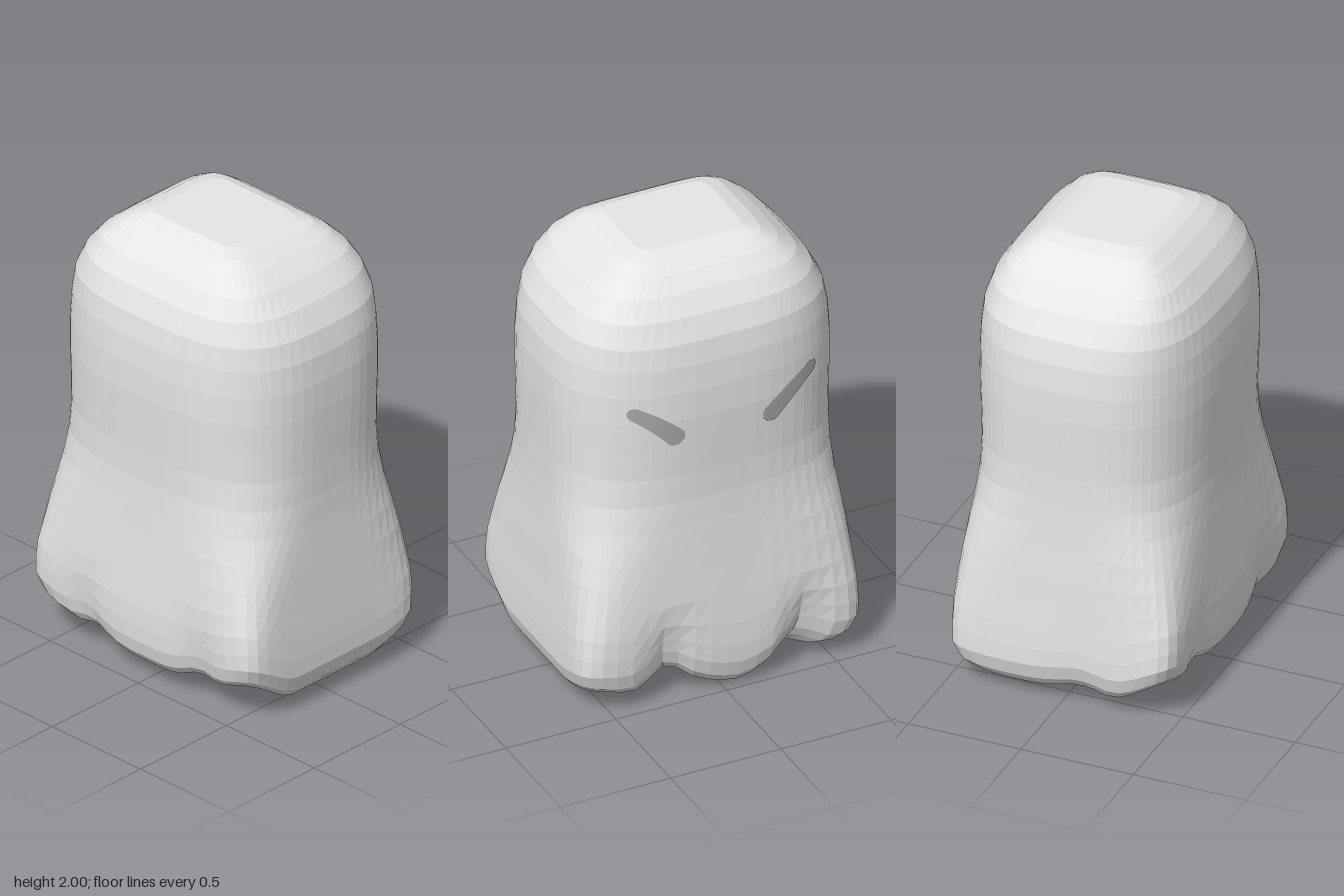
import * as THREE from 'three';

// Cross-sections from under the hem to the crown: y, half width, half depth, squareness
const ROWS = [
  [0.06, 0, 0, 10], [0.055, 0.34, 0.26, 10], [0.045, 0.54, 0.42, 10], [0.06, 0.585, 0.455, 10],
  [0.1, 0.617, 0.487, 11], [0.17, 0.639, 0.506, 12], [0.25, 0.64, 0.511, 11], [0.35, 0.636, 0.511, 10],
  [0.47, 0.629, 0.505, 8], [0.6, 0.623, 0.498, 6.3], [0.72, 0.617, 0.492, 4.9], [0.83, 0.612, 0.487, 3.9],
  [0.95, 0.61, 0.484, 3.3], [1.08, 0.612, 0.488, 3], [1.22, 0.617, 0.496, 2.9], [1.35, 0.621, 0.503, 2.85],
  [1.48, 0.62, 0.503, 2.85], [1.6, 0.61, 0.496, 2.9], [1.7, 0.585, 0.48, 3.1], [1.8, 0.53, 0.44, 3.5],
  [1.88, 0.457, 0.382, 4.3], [1.94, 0.38, 0.318, 5.3], [1.98, 0.31, 0.257, 7], [2, 0.24, 0.2, 8], [2, 0, 0, 8],
];
const SIDE = 18; // segments along each of the four sides
const HEM_X = 0.64, HEM_Z = 0.51;

const { smoothstep } = THREE.MathUtils;
const bump = (x, centre, width) => Math.exp(-(((x - centre) / width) ** 2));

// Folds in the cloth: 0 = none, 1 = deepest notch
function fold(x, z) {
  const back = smoothstep(-z, 0.3, 0.49);
  const front = smoothstep(z, 0.3, 0.49);
  const right = smoothstep(-x, 0.45, 0.62);
  return back * (bump(x, 0.27, 0.11) + bump(x, -0.36, 0.1))
    + front * 0.6 * (bump(x, 0.34, 0.11) + bump(x, -0.32, 0.12))
    + right * 0.4 * bump(z, 0.1, 0.14);
}

// Height change of the hem: raised front and corners, a hanging lobe at the back
function hemLift(x, z) {
  const left = smoothstep(x, 0.35, 0.6), right = smoothstep(-x, 0.35, 0.6);
  const front = smoothstep(z, 0.22, 0.5) * (0.03 + 0.085 * left + 0.075 * right);
  const back = smoothstep(-z, 0.25, 0.5) * (0.045 * left + 0.012 * right - 0.045 * bump(x, -0.07, 0.14));
  return front + back;
}

function ringPoint([y, a, b, n], j) {
  // Walk a square outline, then pull it onto a rounded rectangle
  const t = (j % SIDE) / SIDE * 2 - 1;
  const [u, w] = [[1, -t], [-t, -1], [-1, t], [t, 1]][Math.floor(j / SIDE) % 4];
  const k = (Math.abs(u) ** n + Math.abs(w) ** n) ** (-1 / n);
  const x = u * k * a, z = w * k * b;
  // Folds follow the outer hem line and die out upwards and under the middle
  const hem = [u * k * HEM_X, w * k * HEM_Z], inside = smoothstep(a, 0.15, 0.58);
  const f = fold(...hem) * inside * (1 - smoothstep(y, 0.12, 0.5));
  const lift = 0.085 * f + hemLift(...hem) * inside * (1 - smoothstep(y, 0.15, 0.75));
  return [x * (1 - 0.03 * f), y + lift, z * (1 - 0.075 * f)];
}

function bodyGeometry() {
  const pos = [], count = SIDE * 4, last = ROWS.length - 2;
  for (let i = 0; i <= last; i++) {
    for (let j = 0; j < count; j++) {
      const a = ringPoint(ROWS[i], j), b = ringPoint(ROWS[i], j + 1);
      const c = ringPoint(ROWS[i + 1], j + 1), d = ringPoint(ROWS[i + 1], j);
      if (i > 0) pos.push(...a, ...b, ...c);
      if (i < last) pos.push(...a, ...c, ...d);
    }
  }
  const g = new THREE.BufferGeometry();
  g.setAttribute('position', new THREE.Float32BufferAttribute(pos, 3));
  g.computeVertexNormals();
  return g;
}

// Depth of the unfolded back surface at (x, y)
function backZ(x, y) {
  const i = ROWS.findIndex((r, k) => k > 3 && r[0] >= y);
  const p = ROWS[i - 1], q = ROWS[i], t = (y - p[0]) / (q[0] - p[0]);
  const [a, b, n] = [1, 2, 3].map((k) => p[k] + (q[k] - p[k]) * t);
  return -b * (1 - Math.min(1, Math.abs(x) / a) ** n) ** (1 / n);
}

// Slanted, curved eye stroke laid on the surface: wide inner end, slim outer end
function eyeGeometry(inner, mid, outer) {
  const curve = new THREE.QuadraticBezierCurve(...[inner, mid, outer].map((p) => new THREE.Vector2(...p)));
  const N = 18, M = 4, pos = [], index = [];
  for (let i = 0; i <= N; i++) {
    const t = i / N, p = curve.getPoint(t), d = curve.getTangent(t);
    const blunt = Math.sqrt(Math.min(1, t / 0.1 + 0.15, (1 - t) / 0.08 + 0.15));
    const r = (0.044 - 0.016 * t) * blunt;
    for (let j = 0; j <= M; j++) {
      const s = (j / M * 2 - 1) * r;
      const x = p.x - d.y * s, y = p.y + d.x * s;
      pos.push(x, y, backZ(x, y) - 0.004);
    }
  }
  for (let i = 0; i < N; i++) {
    for (let j = 0; j < M; j++) {
      const a = i * (M + 1) + j, b = a + M + 1;
      index.push(a, a + 1, b, b, a + 1, b + 1);
    }
  }
  const g = new THREE.BufferGeometry();
  g.setAttribute('position', new THREE.Float32BufferAttribute(pos, 3));
  g.setIndex(index);
  g.computeVertexNormals();
  return g;
}

export function createModel() {
  const group = new THREE.Group();
  group.name = 'ghost';
  const cloth = new THREE.MeshStandardMaterial({ color: 0xe6e6e6, flatShading: true });
  cloth.name = 'pale cloth';
  const grey = new THREE.MeshStandardMaterial({ color: 0xa8a8a8 });
  grey.name = 'eye grey';
  const add = (name, geometry, material) => {
    const mesh = new THREE.Mesh(geometry, material);
    mesh.name = name;
    group.add(mesh);
  };

  add('sheetBody', bodyGeometry(), cloth);
  add('leftEye', eyeGeometry([0.2, 1.25], [0.3, 1.36], [0.42, 1.42]), grey);
  add('rightEye', eyeGeometry([-0.18, 1.25], [-0.3, 1.37], [-0.435, 1.43]), grey);
  return group;
}
